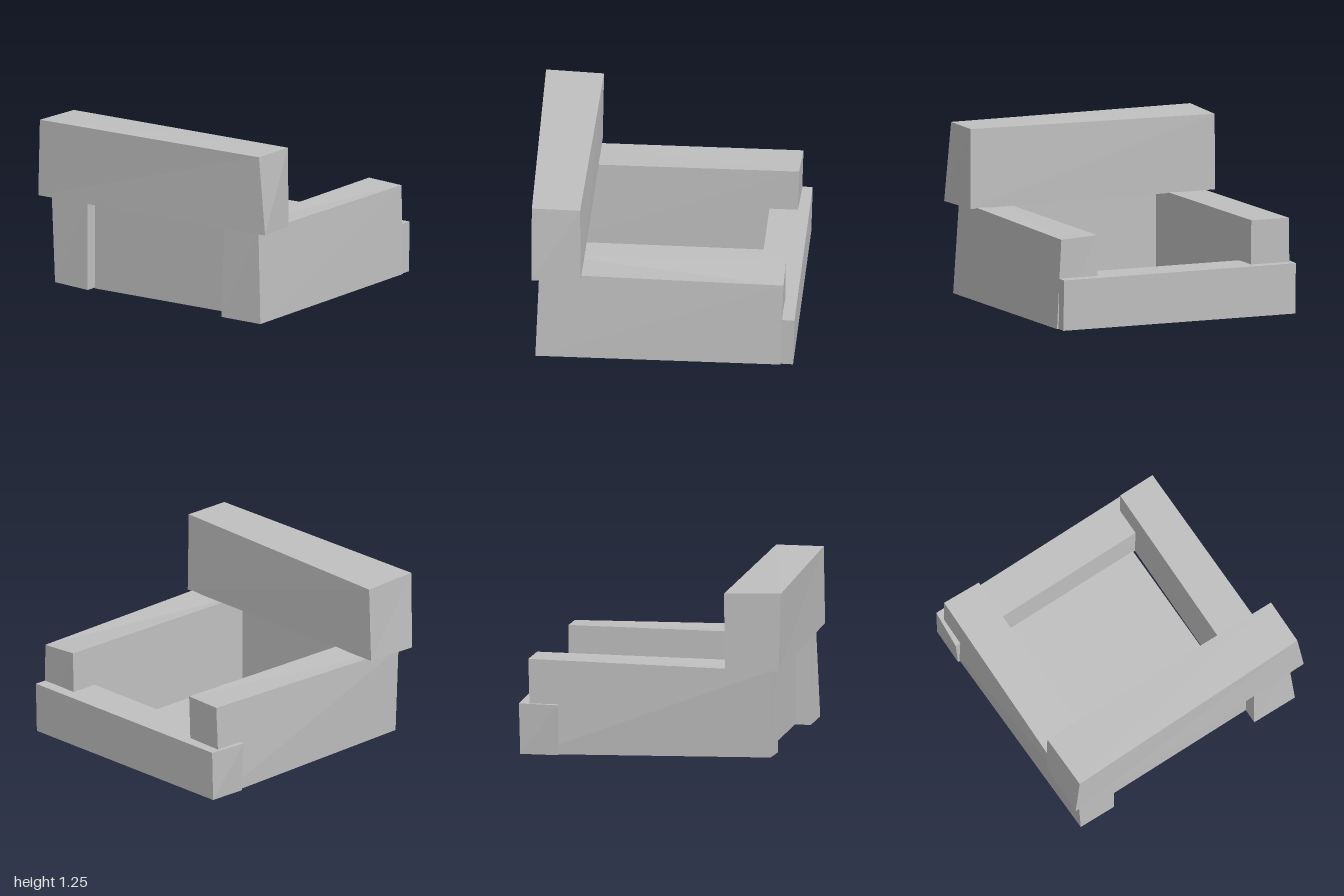
import * as THREE from 'three';

// Six-sided block whose corners are slightly skewed.
// Corners run: front -x, front +x, back +x, back -x.
function block(name, bottom, top, material) {
  const box = new THREE.BoxGeometry(1, 1, 1);
  const pos = box.attributes.position;
  for (let i = 0; i < pos.count; i++) {
    const right = pos.getX(i) > 0;
    const corner = pos.getZ(i) > 0 ? (right ? 1 : 0) : (right ? 2 : 3);
    pos.setXYZ(i, ...(pos.getY(i) > 0 ? top : bottom)[corner]);
  }
  const geometry = box.toNonIndexed();
  geometry.computeVertexNormals();
  const mesh = new THREE.Mesh(geometry, material);
  mesh.name = name;
  return mesh;
}

export function createModel() {
  const group = new THREE.Group();
  group.name = 'blockChair';
  const grey = new THREE.MeshStandardMaterial({ color: 0xbfbfbf, flatShading: true });
  grey.name = 'plainGrey';

  // Side arms
  group.add(block('leftArm',
    [[0.59, 0, 0.9], [0.94, 0, 0.905], [0.93, 0, -0.87], [0.61, 0, -0.88]],
    [[0.6, 0.66, 0.88], [0.905, 0.675, 0.88], [0.905, 0.655, -0.89], [0.62, 0.67, -0.885]], grey));
  group.add(block('rightArm',
    [[-0.905, 0.03, 0.88], [-0.615, 0.015, 0.88], [-0.61, 0, -0.87], [-0.915, 0, -0.88]],
    [[-0.93, 0.67, 0.885], [-0.615, 0.68, 0.88], [-0.605, 0.695, -0.89], [-0.9, 0.695, -0.9]], grey));

  // High beam across the front
  group.add(block('upperBeam',
    [[-1, 0.68, 0.955], [1, 0.675, 0.93], [0.955, 0.665, 0.575], [-0.985, 0.68, 0.56]],
    [[-0.975, 1.25, 0.97], [0.945, 1.25, 0.93], [0.95, 1.25, 0.58], [-0.975, 1.235, 0.55]], grey));

  // Low beam across the back
  group.add(block('lowerBeam',
    [[-0.93, 0, -0.675], [0.91, 0, -0.675], [0.92, 0, -0.96], [-0.925, 0, -0.955]],
    [[-0.95, 0.37, -0.675], [0.91, 0.37, -0.675], [0.92, 0.37, -0.97], [-0.925, 0.37, -0.965]], grey));

  // Thin floor and upright panel between the arms
  group.add(block('floorPanel',
    [[-0.615, 0.008, 0.78], [0.59, 0.008, 0.78], [0.59, 0.008, -0.68], [-0.61, 0.008, -0.68]],
    [[-0.615, 0.02, 0.78], [0.59, 0.02, 0.78], [0.59, 0.02, -0.68], [-0.61, 0.02, -0.68]], grey));
  group.add(block('uprightPanel',
    [[-0.615, 0.008, 0.79], [0.59, 0.008, 0.79], [0.59, 0.008, 0.775], [-0.615, 0.008, 0.775]],
    [[-0.615, 0.68, 0.79], [0.59, 0.675, 0.79], [0.59, 0.675, 0.775], [-0.615, 0.68, 0.775]], grey));

  return group;
}
